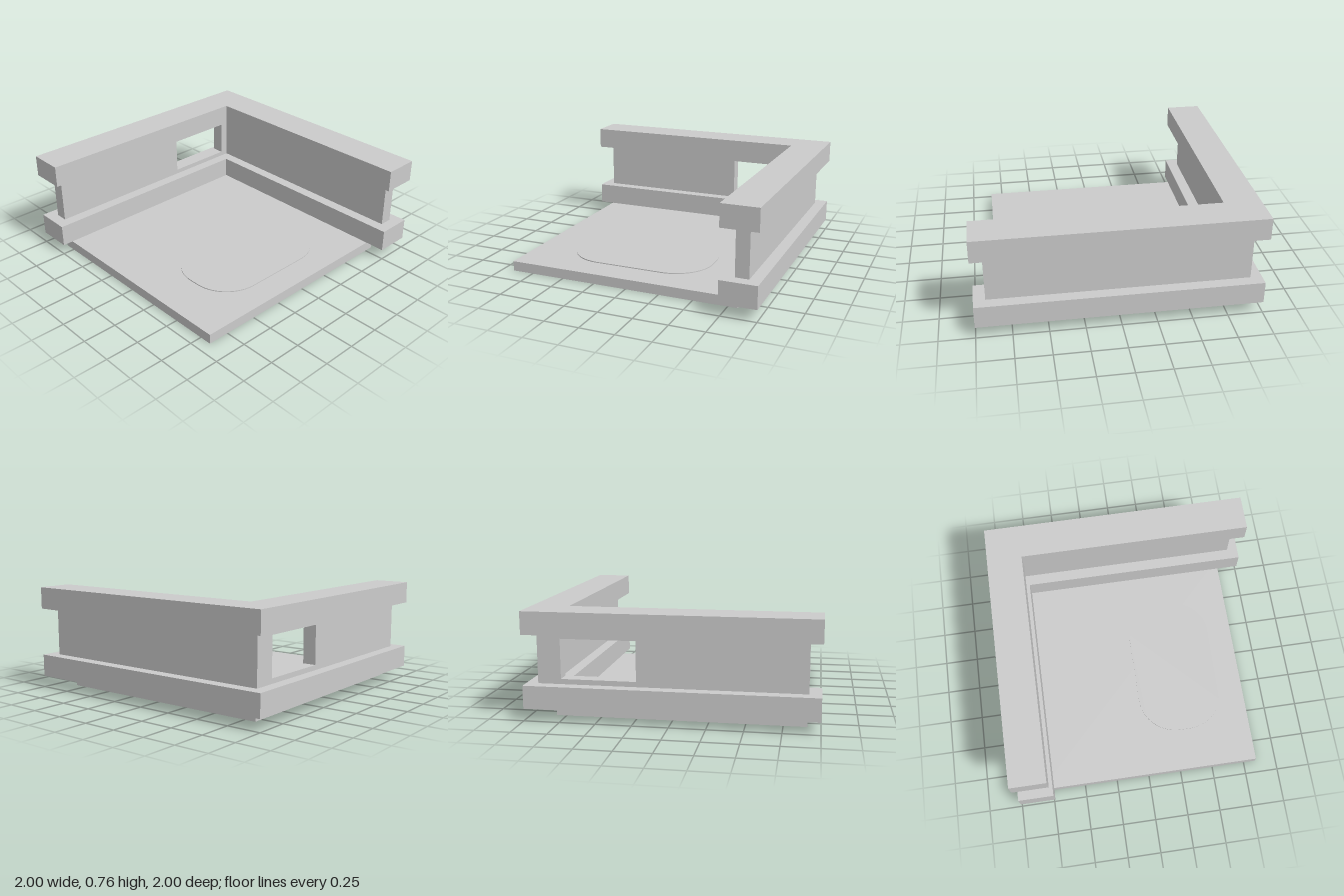
import * as THREE from 'three';

const material = new THREE.MeshStandardMaterial({ color: 0xcccccc });

// Extrude a plan drawn in (x, z) from height y0 to y1.
function slabFromPlan(name, shape, y0, y1) {
  const geometry = new THREE.ExtrudeGeometry(shape, { depth: y1 - y0, bevelEnabled: false, curveSegments: 16 });
  geometry.rotateX(Math.PI / 2).translate(0, y1, 0);
  const mesh = new THREE.Mesh(geometry, material);
  mesh.name = name;
  return mesh;
}

// L-shaped plan along the back and right sides.
function cornerPlan(outer, inner, end) {
  return new THREE.Shape([
    [outer, outer], [end, outer], [end, inner],
    [inner, inner], [inner, end], [outer, end],
  ].map(([x, z]) => new THREE.Vector2(x, z)));
}

function roundedPlan(x0, x1, z0, z1, r) {
  const s = new THREE.Shape();
  s.absarc(x1 - r, z1 - r, r, 0, Math.PI / 2);
  s.absarc(x0 + r, z1 - r, r, Math.PI / 2, Math.PI);
  s.absarc(x0 + r, z0 + r, r, Math.PI, Math.PI * 1.5);
  s.absarc(x1 - r, z0 + r, r, Math.PI * 1.5, Math.PI * 2);
  s.closePath();
  return s;
}

function box(name, x0, x1, y0, y1, z0, z1) {
  const mesh = new THREE.Mesh(new THREE.BoxGeometry(x1 - x0, y1 - y0, z1 - z0), material);
  mesh.position.set((x0 + x1) / 2, (y0 + y1) / 2, (z0 + z1) / 2);
  mesh.name = name;
  return mesh;
}

export function createModel() {
  const model = new THREE.Group();
  model.name = 'roomCorner';

  // Floor and the thin rug lying just above it
  model.add(box('floor', -0.835, 0.84, 0, 0.073, -0.82, 0.91));
  model.add(slabFromPlan('rug', roundedPlan(0.01, 0.655, -0.475, 0.6, 0.285), 0.083, 0.09));

  // Base and top rails
  model.add(slabFromPlan('baseRail', cornerPlan(-1, -0.737, 1), 0.085, 0.247));
  model.add(slabFromPlan('topRail', cornerPlan(-1, -0.737, 1), 0.597, 0.757));

  // Back wall
  model.add(box('backWall', -0.82, 0.917, 0.247, 0.597, -0.917, -0.82));

  // Right wall with its window, drawn in (z, y) and extruded through x
  const wall = new THREE.Shape([[-0.917, 0.247], [0.917, 0.247], [0.917, 0.597], [-0.917, 0.597]]
    .map(([z, y]) => new THREE.Vector2(-z, y)));
  wall.holes.push(new THREE.Path([[-0.755, 0.283], [-0.755, 0.562], [-0.233, 0.562], [-0.233, 0.283]]
    .map(([z, y]) => new THREE.Vector2(-z, y))));
  const wallGeometry = new THREE.ExtrudeGeometry(wall, { depth: 0.097, bevelEnabled: false });
  wallGeometry.rotateY(Math.PI / 2).translate(-0.917, 0, 0);
  const windowWall = new THREE.Mesh(wallGeometry, material);
  windowWall.name = 'windowWall';
  model.add(windowWall);

  return model;
}
